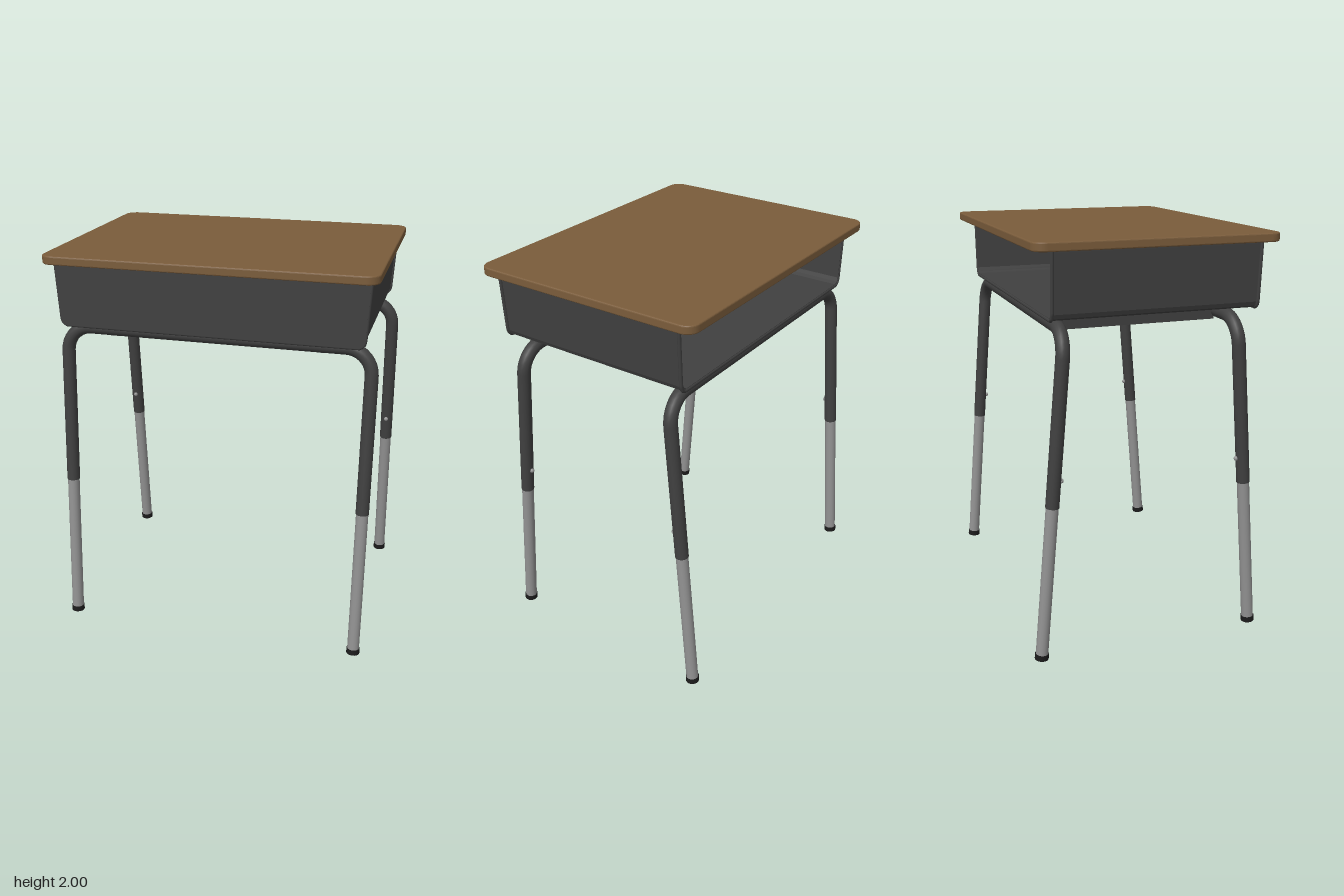
import * as THREE from 'three';

const mat = (name, color) => {
  const m = new THREE.MeshStandardMaterial({ color });
  m.name = name;
  return m;
};

export function createModel() {
  const wood = mat('wood', 0x7a5c3b);
  const steel = mat('dark steel', 0x404040);
  const chrome = mat('chrome', 0x929292);
  const rubber = mat('black rubber', 0x1c1c1c);
  const desk = new THREE.Group();
  desk.name = 'schoolDesk';

  const add = (parent, name, geo, material, x = 0, y = 0, z = 0) => {
    const m = new THREE.Mesh(geo, material);
    m.name = name;
    m.position.set(x, y, z);
    parent.add(m);
    return m;
  };

  // Desktop: rounded rectangle with softened edges
  const bevel = 0.007, w = 0.8 - bevel, d = 0.6 - bevel, r = 0.055;
  const outline = new THREE.Shape();
  outline.moveTo(-w + r, -d);
  outline.lineTo(w - r, -d);
  outline.absarc(w - r, -d + r, r, -Math.PI / 2, 0);
  outline.lineTo(w, d - r);
  outline.absarc(w - r, d - r, r, 0, Math.PI / 2);
  outline.lineTo(-w + r, d);
  outline.absarc(-w + r, d - r, r, Math.PI / 2, Math.PI);
  outline.lineTo(-w, -d + r);
  outline.absarc(-w + r, -d + r, r, Math.PI, Math.PI * 1.5);
  const topGeo = new THREE.ExtrudeGeometry(outline, {
    depth: 0.042 - 2 * bevel, bevelSize: bevel, bevelThickness: bevel, bevelSegments: 3, curveSegments: 8,
  });
  topGeo.rotateX(-Math.PI / 2);
  add(desk, 'desktop', topGeo, wood, 0, 1.958 + bevel, 0.015);

  // Book box: a bent sheet with sides and floor, open at the back
  const box = new THREE.Group();
  box.name = 'bookBox';
  desk.add(box);
  const half = [[0.757, 1.958], [0.741, 1.675], [0.733, 1.655], [0.715, 1.645]];
  const outer = [...half, ...half.map(([x, y]) => [-x, y]).reverse()].map(p => new THREE.Vector2(...p));
  const t = 0.01;
  const inner = outer.map(p => new THREE.Vector2(p.x - Math.sign(p.x) * t, p.y > 1.9 ? p.y : p.y + t)).reverse();
  const sheet = new THREE.ExtrudeGeometry(new THREE.Shape([...outer, ...inner]), { depth: 1.02, bevelEnabled: false });
  add(box, 'sidesAndFloor', sheet, steel, 0, 0, -0.495);
  const panel = new THREE.ExtrudeGeometry(new THREE.Shape(outer), { depth: 0.012, bevelEnabled: false });
  add(box, 'frontPanel', panel, steel, 0, 0, 0.521);

  // Rolled hems around the front panel and the rear opening
  const hemPath = new THREE.CurvePath();
  for (let i = 1; i < outer.length; i++) {
    const [a, b] = [outer[i - 1], outer[i]];
    hemPath.add(new THREE.LineCurve3(new THREE.Vector3(a.x, a.y, 0), new THREE.Vector3(b.x, b.y, 0)));
  }
  const hem = new THREE.TubeGeometry(hemPath, 160, 0.009, 8);
  add(box, 'rearHem', hem, steel, 0, 0, -0.492);
  add(box, 'frontHem', hem, steel, 0, 0, 0.523);

  for (const s of [-1, 1]) {
    // Mounting flanges under the desktop, and support rails under the floor
    add(box, 'mountingFlange', new THREE.BoxGeometry(0.03, 0.008, 0.96), steel, s * 0.765, 1.954, 0.01);
    add(desk, 'supportRail', new THREE.BoxGeometry(0.042, 0.08, 0.82), steel, s * 0.525, 1.605, -0.018);
  }

  // Leg frames: a bent tube over two telescoping legs, leaning inward
  const legX = 0.767, railY = 1.608, bend = 0.125, k = bend * 0.45, sleeveY = 0.78;
  const V = (x, y) => new THREE.Vector3(x, y, 0);
  const path = new THREE.CurvePath();
  path.add(new THREE.LineCurve3(V(-legX, sleeveY), V(-legX, railY - bend)));
  path.add(new THREE.CubicBezierCurve3(V(-legX, railY - bend), V(-legX, railY - k), V(-legX + k, railY), V(-legX + bend, railY)));
  path.add(new THREE.LineCurve3(V(-legX + bend, railY), V(legX - bend, railY)));
  path.add(new THREE.CubicBezierCurve3(V(legX - bend, railY), V(legX - k, railY), V(legX, railY - k), V(legX, railY - bend)));
  path.add(new THREE.LineCurve3(V(legX, railY - bend), V(legX, sleeveY)));
  const tubeGeo = new THREE.TubeGeometry(path, 140, 0.033, 16);
  const sleeveEnd = new THREE.CircleGeometry(0.033, 16).rotateX(Math.PI / 2);
  const lowerLeg = new THREE.CylinderGeometry(0.0305, 0.0305, 0.78, 16);
  const footCap = new THREE.CylinderGeometry(0.034, 0.034, 0.028, 16);
  const pin = new THREE.SphereGeometry(0.012, 12, 8);

  for (const [name, z, topZ] of [['frontLegFrame', 0.537, 0.408], ['backLegFrame', -0.578, -0.443]]) {
    const frame = new THREE.Group();
    frame.name = name;
    frame.position.set(0, 0.003, z);
    frame.rotation.x = Math.atan((topZ - z) / railY);
    desk.add(frame);
    add(frame, 'bentTube', tubeGeo, steel);
    for (const s of [-1, 1]) {
      add(frame, 'sleeveEnd', sleeveEnd, steel, s * legX, sleeveY);
      add(frame, 'lowerLeg', lowerLeg, chrome, s * legX, 0.41);
      add(frame, 'footCap', footCap, rubber, s * legX, 0.014);
      add(frame, 'heightPin', pin, chrome, s * legX, 0.91, -Math.sign(z) * 0.034);
    }
  }
  return desk;
}
